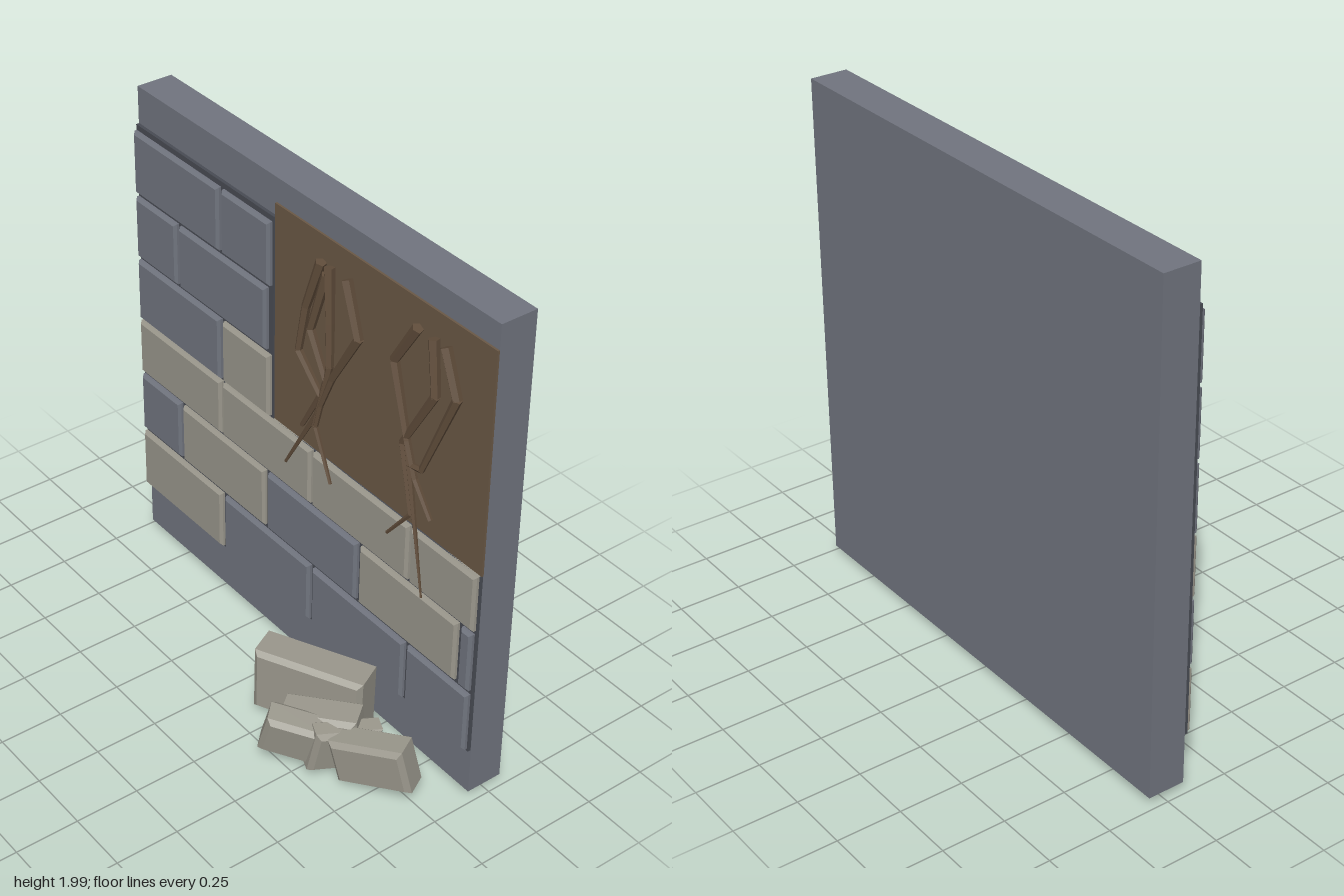
import * as THREE from 'three';

const mat = (name, color) => {
  const m = new THREE.MeshStandardMaterial({ color });
  m.name = name;
  return m;
};

export function createModel() {
  const root = new THREE.Group();
  root.name = 'ruinedWall';
  const slate = mat('slate blue', 0x70747e);
  const stone = mat('pale stone', 0x99968b);
  const grout = mat('dark grout', 0x484b53);
  const earth = mat('earth brown', 0x6a5845);
  const bark = mat('root brown', 0x5f4c3a);

  const add = (name, geo, material, parent = root) => {
    const m = new THREE.Mesh(geo, material);
    m.name = name;
    parent.add(m);
    return m;
  };

  // box given by its limits
  const block = (name, x0, x1, y0, y1, z0, z1, material) => {
    const m = add(name, new THREE.BoxGeometry(x1 - x0, y1 - y0, z1 - z0), material);
    m.position.set((x0 + x1) / 2, (y0 + y1) / 2, (z0 + z1) / 2);
    return m;
  };

  // centred box with chamfered edges
  const chamferBox = (w, h, d, b) => {
    const x = w / 2 - b, y = h / 2 - b;
    const s = new THREE.Shape([[-x, -y], [x, -y], [x, y], [-x, y]].map(p => new THREE.Vector2(...p)));
    const g = new THREE.ExtrudeGeometry(s, {
      depth: d - 2 * b, bevelEnabled: true, bevelSize: b, bevelThickness: b, bevelSegments: 1,
    });
    return g.translate(0, 0, -d / 2 + b);
  };

  // wall core, grout bed and exposed earth
  block('wallSlab', -0.98, 0.98, 0.04, 2, -0.315, -0.168, slate);
  block('lowerGrout', -0.978, 0.978, 0.238, 1.018, -0.17, -0.155, grout);
  block('upperGrout', -0.978, -0.15, 1.018, 1.852, -0.17, -0.155, grout);
  block('earthPanel', -0.15, 0.98, 1.018, 1.905, -0.169, -0.16, earth);

  // brick courses: bottom, top, then [left, right, is pale]
  const courses = [
    [0.247, 0.5, [[-0.975, -0.455, 1], [-0.435, 0.09, 0], [0.108, 0.63, 0], [0.648, 0.972, 0]]],
    [0.52, 0.77, [[-0.975, -0.72, 0], [-0.702, -0.183, 1], [-0.165, 0.357, 0], [0.375, 0.897, 1], [0.917, 0.972, 0]]],
    [0.787, 1.018, [[-0.975, -0.452, 1], [-0.44, 0.088, 1], [0.1, 0.63, 1], [0.642, 0.975, 1]]],
    [1.03, 1.287, [[-0.975, -0.455, 0], [-0.437, -0.158, 1]]],
    [1.304, 1.558, [[-0.975, -0.72, 0], [-0.702, -0.178, 0]]],
    [1.576, 1.83, [[-0.975, -0.455, 0], [-0.437, -0.158, 0]]],
  ];
  for (const [y0, y1, bricks] of courses) {
    for (const [x0, x1, pale] of bricks) {
      const m = add('brick', chamferBox(x1 - x0, y1 - y0, 0.04, 0.01), pale ? stone : slate);
      m.position.set((x0 + x1) / 2, (y0 + y1) / 2, -0.155);
    }
  }

  // roots: tapering angular strands that lean out as they hang
  const depthAt = y => THREE.MathUtils.mapLinear(y, 1.81, 1.0, -0.142, -0.07);
  const radiusAt = y => Math.max(0.004, THREE.MathUtils.mapLinear(y, 1.81, 1.0, 0.021, 0.006));
  const up = new THREE.Vector3(0, 1, 0);
  const strand = (parent, pts) => {
    for (let i = 0; i < pts.length - 1; i++) {
      const [a, b] = [pts[i], pts[i + 1]].map(([x, y]) => new THREE.Vector3(x, y, depthAt(y)));
      const dir = a.clone().sub(b);
      const g = new THREE.CylinderGeometry(radiusAt(a.y), radiusAt(b.y), dir.length() + 0.006, 5).toNonIndexed();
      g.computeVertexNormals();
      const m = add('rootSegment', g, bark, parent);
      m.position.copy(a).add(b).multiplyScalar(0.5);
      m.quaternion.setFromUnitVectors(up, dir.normalize());
    }
  };
  const clusters = {
    rightRoots: [
      [[0.125, 1.81], [0.07, 1.62], [0.052, 1.44], [0.19, 1.33], [0.11, 1.17]],
      [[0.17, 1.81], [0.2, 1.62], [0.222, 1.46], [0.18, 1.2], [0.285, 1.025]],
      [[0.265, 1.81], [0.352, 1.63], [0.24, 1.42], [0.18, 1.25], [0.04, 0.98]],
      [[0.16, 1.78], [0.105, 1.55], [0.21, 1.4], [0.17, 1.2]],
    ],
    leftRoots: [
      [[0.625, 1.81], [0.535, 1.65], [0.64, 1.4], [0.72, 1.13], [0.8, 0.865]],
      [[0.705, 1.81], [0.745, 1.62], [0.62, 1.38], [0.7, 1.14], [0.6, 1.01]],
      [[0.765, 1.81], [0.845, 1.66], [0.725, 1.33], [0.67, 1.32]],
      [[0.64, 1.4], [0.7, 1.28], [0.795, 1.175]],
    ],
  };
  for (const [name, strands] of Object.entries(clusters)) {
    const g = new THREE.Group();
    g.name = name;
    strands.forEach(s => strand(g, s));
    root.add(g);
  }

  // fallen stones: size, centre, yaw, roll, pitch (degrees)
  const rubble = [
    [0.43, 0.27, 0.15, 0.335, 0.178, 0.02, 27, -1, 0],
    [0.28, 0.2, 0.13, 0.5, 0.138, 0.105, 37, 4, 4],
    [0.2, 0.18, 0.11, 0.465, 0.16, 0.225, 42, -14, 10],
    [0.29, 0.19, 0.12, 0.74, 0.148, 0.065, 27, 12, 4],
    [0.25, 0.19, 0.09, 0.59, 0.122, 0.09, 68, -8, 8],
  ];
  const rad = THREE.MathUtils.degToRad;
  for (const [w, h, d, x, y, z, yaw, roll, pitch] of rubble) {
    const m = add('fallenStone', chamferBox(w, h, d, 0.018), stone);
    m.position.set(x, y, z);
    m.rotation.set(rad(pitch), rad(yaw), rad(roll), 'YXZ');
  }
  return root;
}
